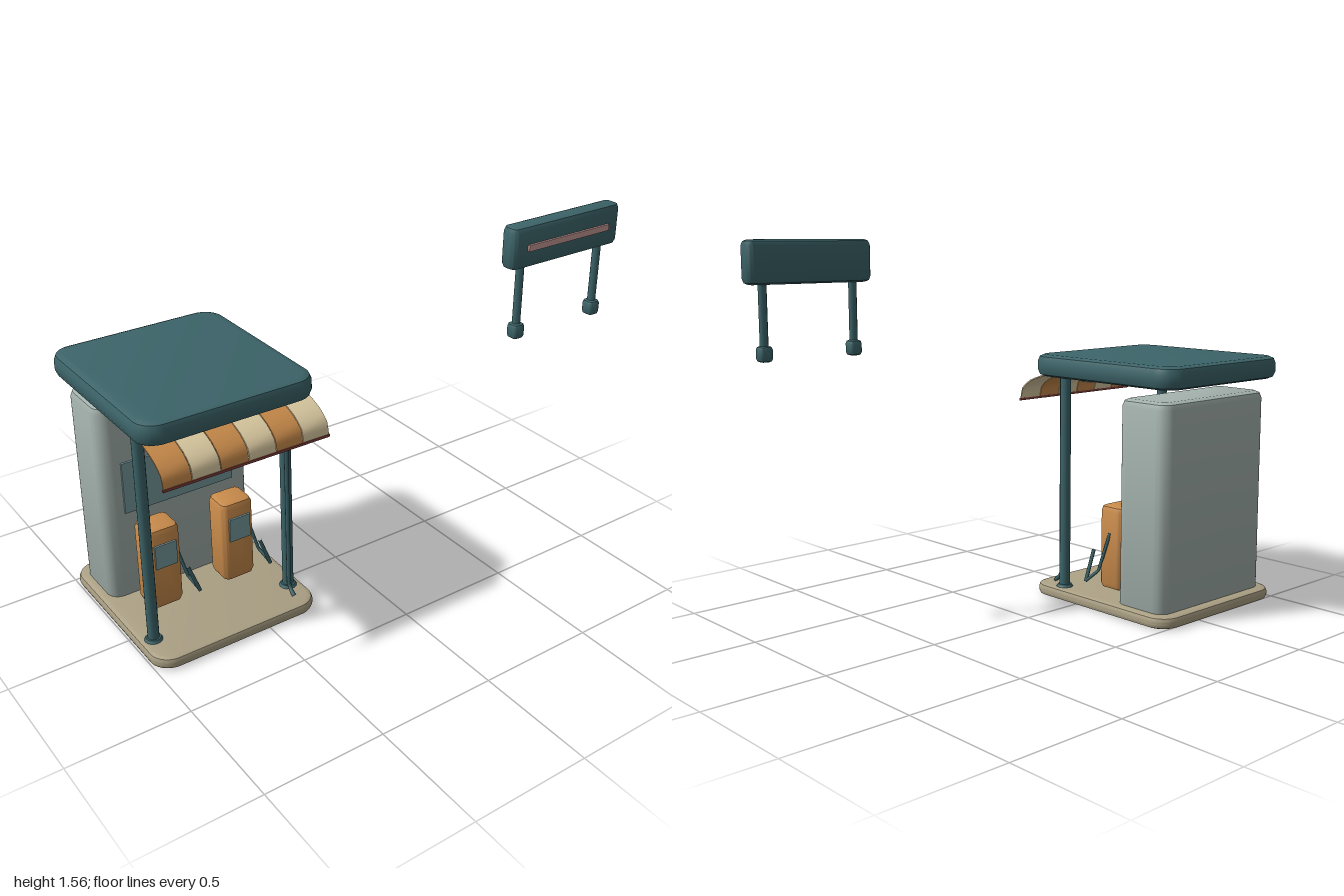
import * as THREE from 'three';
import { toCreasedNormals } from 'three/addons/utils/BufferGeometryUtils.js';

const mat = (name, color) => {
  const m = new THREE.MeshStandardMaterial({ color });
  m.name = name;
  return m;
};

// Block with rounded plan corners (r) and bevelled top and bottom rims (b), centred
function bevelBlock(w, h, d, r, b) {
  const x = w / 2 - b, y = d / 2 - b, c = Math.max(r - b, 0.004);
  const s = new THREE.Shape();
  s.moveTo(x, -y + c);
  s.absarc(x - c, y - c, c, 0, Math.PI / 2);
  s.absarc(-x + c, y - c, c, Math.PI / 2, Math.PI);
  s.absarc(-x + c, -y + c, c, Math.PI, Math.PI * 1.5);
  s.absarc(x - c, -y + c, c, Math.PI * 1.5, Math.PI * 2);
  const g = new THREE.ExtrudeGeometry(s, {
    depth: h - 2 * b, bevelThickness: b, bevelSize: b, bevelSegments: 2, curveSegments: 6,
  });
  g.rotateX(-Math.PI / 2).translate(0, -(h - 2 * b) / 2, 0);
  return toCreasedNormals(g, 0.7);
}

export function createModel() {
  const teal = mat('teal paint', 0x3c6469);
  const grey = mat('pale grey wall', 0xa3b1ac);
  const stone = mat('stone slab', 0xaca185);
  const orange = mat('orange', 0xc98b4b);
  const cream = mat('cream', 0xdccba2);
  const glass = mat('blue grey glass', 0x789a9f);
  const pink = mat('pink strip', 0xc79a98);
  const red = mat('dark red trim', 0x85403a);

  const model = new THREE.Group();
  const add = (parent, name, geo, material, x = 0, y = 0, z = 0) => {
    const m = new THREE.Mesh(geo, material);
    m.name = name;
    m.position.set(x, y, z);
    parent.add(m);
    return m;
  };
  const group = (name) => {
    const g = new THREE.Group();
    g.name = name;
    model.add(g);
    return g;
  };
  const tube = (pts, radius) => {
    const path = new THREE.CurvePath();
    const v = pts.map((p) => new THREE.Vector3(...p));
    for (let i = 1; i < v.length; i++) path.add(new THREE.LineCurve3(v[i - 1], v[i]));
    return new THREE.TubeGeometry(path, 32, radius, 8, false);
  };

  const cx = -0.63; // middle of the station

  // Slab, building and roof
  const station = group('station');
  add(station, 'slab', bevelBlock(0.74, 0.052, 0.785, 0.09, 0.02), stone, cx, 0.026, -0.128);
  add(station, 'building', bevelBlock(0.66, 0.91, 0.262, 0.055, 0.03), grey, cx, 0.465, -0.342);
  add(station, 'buildingWindow', new THREE.BoxGeometry(0.49, 0.226, 0.009), glass, cx, 0.553, -0.2065);
  add(station, 'roof', bevelBlock(0.74, 0.095, 0.805, 0.09, 0.03), teal, cx, 1.0225, -0.127);

  // Roof posts with foot plates, and lamps under the roof
  for (const s of [-1, 1]) {
    add(station, 'post', new THREE.CylinderGeometry(0.023, 0.023, 0.94, 16), teal, cx + s * 0.3125, 0.515, 0.107);
    add(station, 'postFoot', new THREE.CylinderGeometry(0.03, 0.037, 0.012, 16), teal, cx + s * 0.3125, 0.057, 0.107);
    add(station, 'lampHousing', new THREE.CylinderGeometry(0.04, 0.037, 0.016, 20), teal, cx + s * 0.23, 0.968, 0.047);
    add(station, 'lampLens', new THREE.CylinderGeometry(0.031, 0.031, 0.004, 20), cream, cx + s * 0.23, 0.959, 0.047);
  }

  // Drain pipe beside the left post, kicked forward at the bottom
  add(station, 'drainPipe',
    tube([[-0.345, 0.98, 0.157], [-0.345, 0.085, 0.157], [-0.345, 0.056, 0.195]], 0.009), teal);

  // Striped awning: curved strips hung from the front of the roof
  const awning = group('awning');
  const outer = [[0.22, 0.979], [0.26, 0.966], [0.298, 0.951], [0.325, 0.933], [0.347, 0.913], [0.354, 0.89], [0.36, 0.86]];
  const inner = outer.map(([z, y]) => [z - 0.004, y - 0.004]).reverse();
  const profile = new THREE.Shape([...outer, ...inner].map(([z, y]) => new THREE.Vector2(z, y)));
  const stripe = 0.116;
  let stripGeo = new THREE.ExtrudeGeometry(profile, { depth: stripe - 0.003, bevelEnabled: false });
  stripGeo.translate(0, 0, -(stripe - 0.003) / 2).rotateY(-Math.PI / 2);
  stripGeo = toCreasedNormals(stripGeo, 0.6);
  for (let i = 0; i < 6; i++) {
    add(awning, 'awningStripe', stripGeo, i % 2 ? cream : orange, cx + (i - 2.5) * stripe);
  }
  add(awning, 'awningTrim', new THREE.BoxGeometry(0.698, 0.01, 0.008), red, cx, 0.86, 0.358);

  // Fuel pumps with display, hose and nozzle
  const pumpBody = bevelBlock(0.147, 0.372, 0.132, 0.032, 0.026);
  for (const x of [-0.798, -0.46]) {
    const pump = group('pump');
    pump.position.x = x;
    add(pump, 'pumpBody', pumpBody, orange, 0, 0.248, -0.096);
    add(pump, 'pumpDisplay', new THREE.BoxGeometry(0.095, 0.105, 0.009), glass, 0, 0.313, -0.0265);
    add(pump, 'hose', tube([[0.07, 0.315, -0.095], [0.108, 0.15, -0.065], [0.133, 0.098, -0.013]], 0.007), teal);
    add(pump, 'nozzle', tube([[0.133, 0.096, -0.013], [0.084, 0.23, -0.013]], 0.008), teal);
  }

  // Free-standing sign board on two legs
  const sign = group('sign');
  sign.position.set(0.716, 0, 0.486);
  add(sign, 'signBoard', bevelBlock(0.56, 0.17, 0.08, 0.03, 0.023), teal, 0, 1.479, 0);
  add(sign, 'signStrip', new THREE.BoxGeometry(0.42, 0.025, 0.009), pink, 0, 1.478, 0.0445);
  const foot = bevelBlock(0.056, 0.062, 0.056, 0.018, 0.014);
  for (const s of [-1, 1]) {
    add(sign, 'signLeg', new THREE.CylinderGeometry(0.0165, 0.0165, 0.27, 12), teal, s * 0.205, 1.27, 0);
    add(sign, 'signFoot', foot, teal, s * 0.205, 1.131, 0);
  }
  return model;
}
